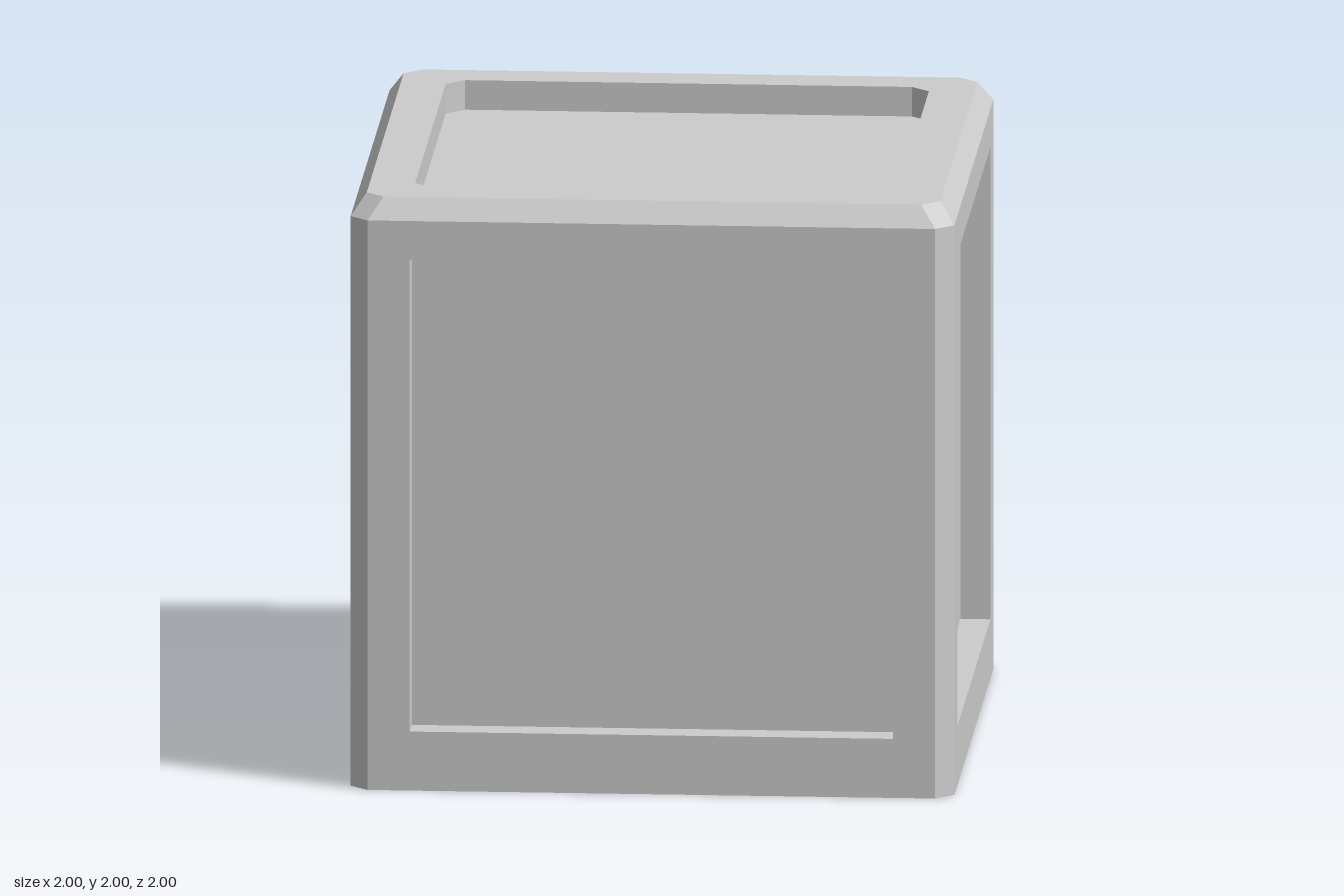
import * as THREE from 'three';

const DEPTH = 0.1; // recess depth
const SHOULDER = 1.93; // height where the top bevel starts
const material = new THREE.MeshStandardMaterial({
  color: 0xcccccc, flatShading: true, side: THREE.DoubleSide,
});

function mesh(name, geometry) {
  const m = new THREE.Mesh(geometry, material);
  m.name = name;
  return m;
}

// Flat four-sided faces, corners counter-clockwise seen from the front
function quads(list) {
  const pos = [];
  for (const [a, b, c, d] of list) pos.push(...a, ...b, ...c, ...a, ...c, ...d);
  const g = new THREE.BufferGeometry();
  g.setAttribute('position', new THREE.Float32BufferAttribute(pos, 3));
  g.computeVertexNormals();
  return g;
}

// Rectangle outline with optional cut corners
function outline(x0, y0, x1, y1, cut = 0) {
  const pts = cut
    ? [[x0 + cut, y0], [x1 - cut, y0], [x1, y0 + cut], [x1, y1 - cut],
      [x1 - cut, y1], [x0 + cut, y1], [x0, y1 - cut], [x0, y0 + cut]]
    : [[x0, y0], [x1, y0], [x1, y1], [x0, y1]];
  return pts.map(([x, y]) => new THREE.Vector2(x, y));
}

// Frame with a recessed panel, facing +z
function recessedFace(name, outer, inner) {
  const group = new THREE.Group();
  group.name = name;
  const frame = new THREE.Shape(outer);
  frame.holes.push(new THREE.Path(inner));
  const panel = mesh('panel', new THREE.ShapeGeometry(new THREE.Shape(inner)));
  panel.position.z = -DEPTH;
  const walls = inner.map((p, i) => {
    const q = inner[(i + 1) % inner.length];
    return [[p.x, p.y, 0], [q.x, q.y, 0], [q.x, q.y, -DEPTH], [p.x, p.y, -DEPTH]];
  });
  group.add(mesh('frame', new THREE.ShapeGeometry(frame)), panel, mesh('recessWalls', quads(walls)));
  return group;
}

export function createModel() {
  const model = new THREE.Group();
  model.name = 'crate';

  // Four identical sides, each with its corner and top bevels
  for (let i = 0; i < 4; i++) {
    const side = new THREE.Group();
    side.name = ['frontSide', 'leftSide', 'backSide', 'rightSide'][i];
    const face = recessedFace('sideFace', outline(-0.94, 0, 0.94, SHOULDER), outline(-0.8, 0.2, 0.8, 1.8));
    face.position.z = 1;
    side.add(face);
    const s = SHOULDER;
    side.add(mesh('bevels', quads([
      [[0.94, 0, 1], [1, 0, 0.94], [1, s, 0.94], [0.94, s, 1]],
      [[-0.94, s, 1], [0.94, s, 1], [0.89, 2, 0.95], [-0.89, 2, 0.95]],
      [[0.94, s, 1], [1, s, 0.94], [0.95, 2, 0.89], [0.89, 2, 0.95]],
    ])));
    side.rotation.y = i * Math.PI / 2;
    model.add(side);
  }

  // Top with a cut-corner recess; the underside stays open
  const top = recessedFace('top', outline(-0.95, -0.95, 0.95, 0.95, 0.06), outline(-0.8, -0.8, 0.8, 0.8, 0.06));
  top.rotation.x = -Math.PI / 2;
  top.position.y = 2;
  model.add(top);

  return model;
}
